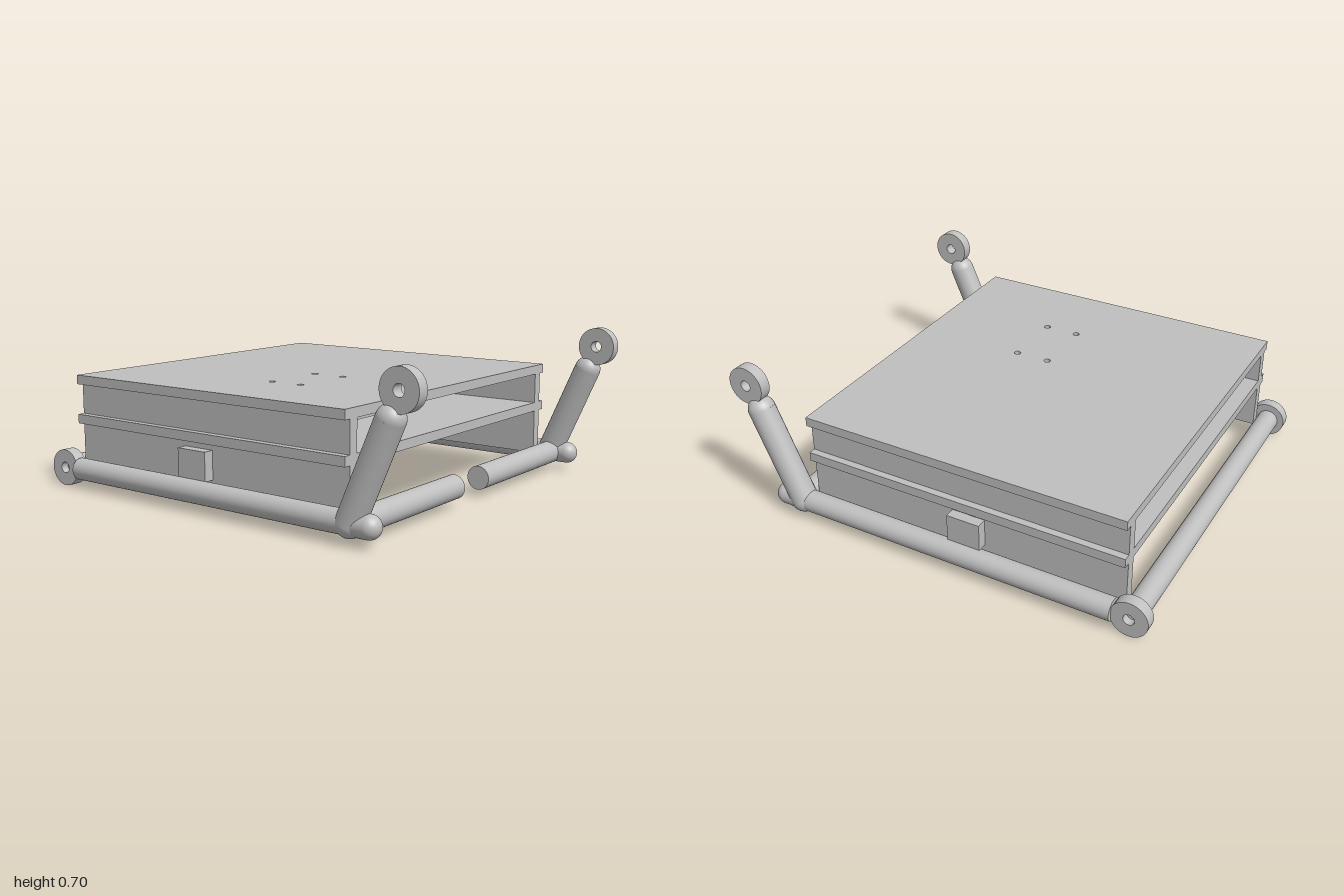
import * as THREE from 'three';

export function createModel() {
  const model = new THREE.Group();
  const grey = new THREE.MeshStandardMaterial({ color: 0xbfbfbf });
  grey.name = 'plainGrey';

  function add(name, geometry) {
    const mesh = new THREE.Mesh(geometry, grey);
    mesh.name = name;
    model.add(mesh);
    return mesh;
  }
  // box given by its limits on each axis
  function box(name, x0, x1, y0, y1, z0, z1) {
    const g = new THREE.BoxGeometry(x1 - x0, y1 - y0, z1 - z0);
    add(name, g).position.set((x0 + x1) / 2, (y0 + y1) / 2, (z0 + z1) / 2);
  }
  // round bar between two points
  function bar(name, a, b, r) {
    const from = new THREE.Vector3(...a), to = new THREE.Vector3(...b);
    const dir = to.clone().sub(from);
    const m = add(name, new THREE.CylinderGeometry(r, r, dir.length(), 40));
    m.position.copy(from).lerp(to, 0.5);
    m.quaternion.setFromUnitVectors(new THREE.Vector3(0, 1, 0), dir.normalize());
  }
  function ball(name, x, y, z, r) {
    add(name, new THREE.SphereGeometry(r, 32, 20)).position.set(x, y, z);
  }
  // flat eyelet facing z
  function eyelet(name, x, y, z, r) {
    const s = new THREE.Shape().absarc(0, 0, r, 0, Math.PI * 2);
    s.holes.push(new THREE.Path().absarc(0, 0, 0.025, 0, Math.PI * 2, true));
    const g = new THREE.ExtrudeGeometry(s, { depth: 0.054, bevelEnabled: false, curveSegments: 40 });
    g.translate(0, 0, -0.027);
    add(name, g).position.set(x, y, z);
  }
  // horizontal plate with holes
  function plate(name, y, holes) {
    const s = new THREE.Shape([[-0.87, -0.807], [0.64, -0.807], [0.64, 0.807], [-0.87, 0.807]]
      .map(p => new THREE.Vector2(...p)));
    s.holes.push(...holes);
    const g = new THREE.ExtrudeGeometry(s, { depth: 0.042, bevelEnabled: false, curveSegments: 16 });
    g.rotateX(-Math.PI / 2);
    add(name, g).position.y = y;
  }

  // top plate with four screw holes
  const screwHoles = [];
  for (const x of [-0.033, 0.125]) for (const z of [0.13, 0.43])
    screwHoles.push(new THREE.Path().absarc(x, -z, 0.015, 0, Math.PI * 2, true));
  plate('topPlate', 0.467, screwHoles);

  // middle shelf with a rectangular opening
  const opening = new THREE.Path([[-0.42, -0.54], [-0.42, 0.22], [0.22, 0.22], [0.22, -0.54]]
    .map(p => new THREE.Vector2(...p)));
  plate('middleShelf', 0.287, [opening]);

  // mirrored sides
  const Y = 0.083;
  for (const s of [1, -1]) {
    const side = s > 0 ? 'front' : 'back';
    const z = s * 0.828;
    const w = [s * 0.728, s * 0.775].sort((a, b) => a - b);
    box(side + 'Wall', -0.87, 0.64, Y, 0.467, ...w);
    bar(side + 'Rail', [-0.84, Y, z], [0.77, Y, z], 0.05);
    ball(side + 'RailEnd', 0.77, Y, z, 0.05);
    eyelet(side + 'LowerEyelet', -0.917, Y, z, 0.083);
    // slanted leg with rounded ends
    bar(side + 'Leg', [0.68, Y, z], [0.862, 0.5, z], 0.06);
    ball(side + 'LegFoot', 0.68, Y, z, 0.06);
    ball(side + 'LegTop', 0.862, 0.5, z, 0.06);
    eyelet(side + 'UpperEyelet', 0.913, 0.612, z, 0.087);
    // half of the split cross bar
    bar(side + 'HalfCrossBar', [0.695, Y, z], [0.695, Y, s * 0.1], 0.053);
  }
  bar('crossBar', [-0.92, Y, -0.82], [-0.92, Y, 0.82], 0.05);

  // blocks passing through the walls
  box('frontBlock', -0.225, -0.07, 0.13, 0.257, 0.55, 0.822);
  box('backBlock', -0.225, -0.07, 0.13, 0.257, -0.822, -0.22);

  return model;
}
